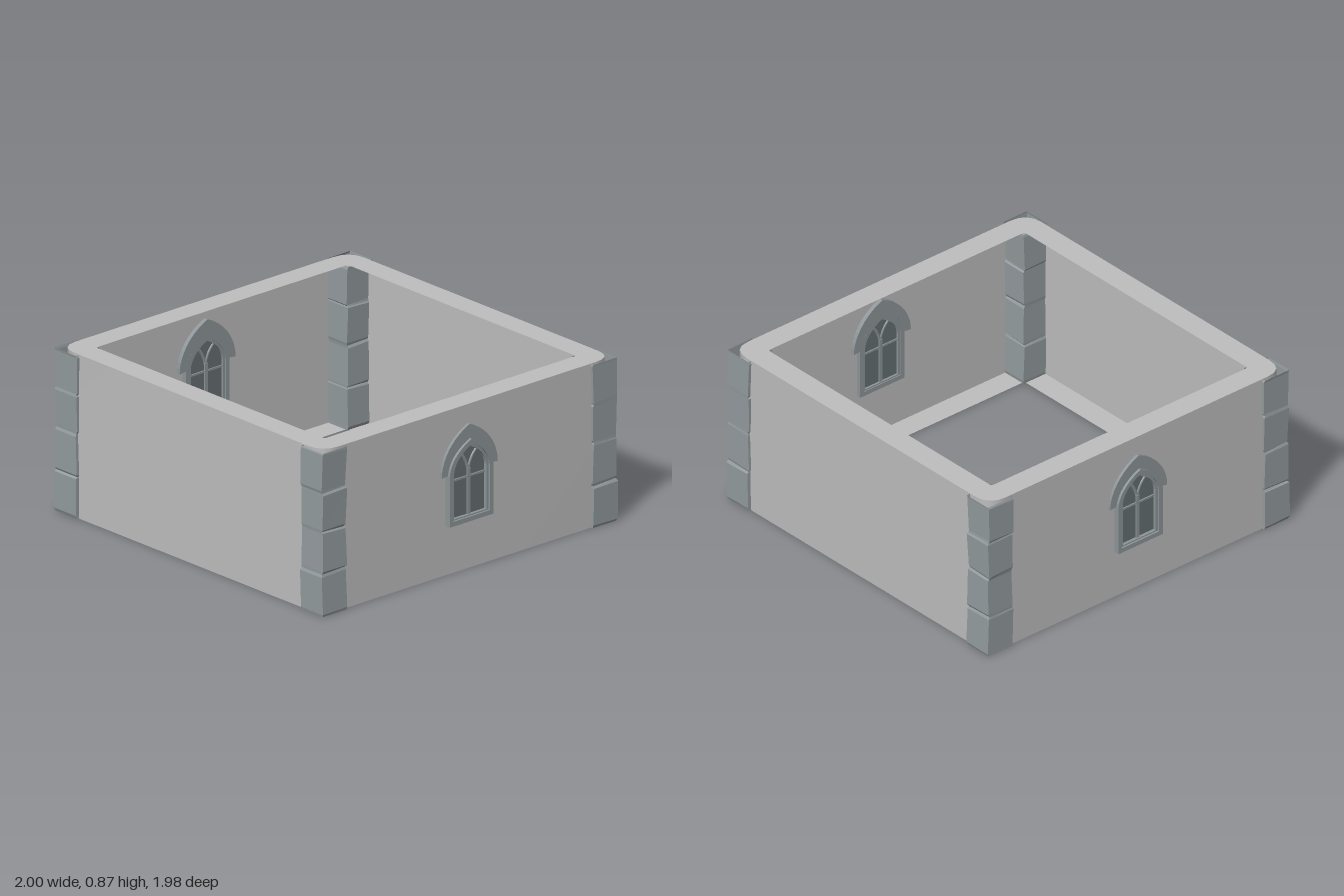
import * as THREE from 'three';

const H = 0.87;      // wall height
const OUT = 0.968;   // outer half width
const INN = 0.84;    // inner half width

function mat(name, color, double = true) {
  const m = new THREE.MeshStandardMaterial({ color });
  m.name = name;
  if (double) m.side = THREE.DoubleSide;
  return m;
}

// Square outline with rounded corners
function roundedSquare(h, r, Type = THREE.Shape) {
  const s = new Type();
  s.moveTo(-h + r, -h);
  s.lineTo(h - r, -h);
  s.quadraticCurveTo(h, -h, h, -h + r);
  s.lineTo(h, h - r);
  s.quadraticCurveTo(h, h, h - r, h);
  s.lineTo(-h + r, h);
  s.quadraticCurveTo(-h, h, -h, h - r);
  s.lineTo(-h, -h + r);
  s.quadraticCurveTo(-h, -h, -h + r, -h);
  return s;
}

// Thin upright skin following the outline
function skinGeometry() {
  const pts = roundedSquare(OUT, 0.11).getPoints(4).slice(0, -1);
  const n = pts.length, pos = [], index = [];
  for (const p of pts) pos.push(p.x, 0, -p.y, p.x, H, -p.y);
  for (let i = 0; i < n; i++) {
    const a = 2 * i, b = 2 * ((i + 1) % n);
    index.push(a, b, b + 1, a, b + 1, a + 1);
  }
  const g = new THREE.BufferGeometry();
  g.setAttribute('position', new THREE.Float32BufferAttribute(pos, 3));
  g.setIndex(index);
  g.computeVertexNormals();
  return g;
}

// Pointed arch outline with straight jambs
function arch(w, y0, spring, apex, Type = THREE.Shape) {
  const s = new Type();
  const c = spring + 0.62 * (apex - spring);
  s.moveTo(-w, y0);
  s.lineTo(w, y0);
  s.lineTo(w, spring);
  s.quadraticCurveTo(w * 0.92, c, 0, apex);
  s.quadraticCurveTo(-w * 0.92, c, -w, spring);
  s.lineTo(-w, y0);
  return s;
}

function slab(name, shape, z0, z1, material) {
  const g = new THREE.ExtrudeGeometry(shape, { depth: z1 - z0, bevelEnabled: false, curveSegments: 10 });
  g.translate(0, 0, z0);
  const m = new THREE.Mesh(g, material);
  m.name = name;
  return m;
}

function bar(name, w, h, d, x, y, z, material) {
  const m = new THREE.Mesh(new THREE.BoxGeometry(w, h, d), material);
  m.position.set(x, y, z);
  m.name = name;
  return m;
}

// Window facing +z, placed at the wall plane
function buildWindow(frameMat, glassMat) {
  const g = new THREE.Group();

  // outer and inner frame steps
  const outer = arch(0.146, 0.26, 0.53, 0.695);
  outer.holes.push(arch(0.122, 0.285, 0.53, 0.672, THREE.Path));
  g.add(slab('windowFrame', outer, 0.945, 0.998, frameMat));
  const inner = arch(0.122, 0.285, 0.53, 0.672);
  inner.holes.push(arch(0.108, 0.292, 0.53, 0.655, THREE.Path));
  g.add(slab('innerFrame', inner, 0.95, 0.988, frameMat));

  // glass pane
  g.add(slab('glass', arch(0.112, 0.287, 0.53, 0.66), 0.962, 0.971, glassMat));

  // hood moulding over the arch
  const hood = new THREE.Shape();
  hood.moveTo(0.146, 0.53);
  hood.lineTo(0.187, 0.525);
  hood.bezierCurveTo(0.187, 0.62, 0.12, 0.72, 0, 0.77);
  hood.bezierCurveTo(-0.12, 0.72, -0.187, 0.62, -0.187, 0.525);
  hood.lineTo(-0.146, 0.53);
  hood.quadraticCurveTo(-0.134, 0.635, 0, 0.692);
  hood.quadraticCurveTo(0.134, 0.635, 0.146, 0.53);
  g.add(slab('hoodMoulding', hood, 0.945, 0.984, frameMat));

  // mullion, transom and branching tracery
  g.add(bar('mullion', 0.02, 0.25, 0.026, 0, 0.41, 0.967, frameMat));
  g.add(bar('transom', 0.22, 0.01, 0.022, 0, 0.492, 0.967, frameMat));
  for (const s of [-1, 1]) {
    const curve = new THREE.QuadraticBezierCurve3(
      new THREE.Vector3(0, 0.52, 0.967),
      new THREE.Vector3(s * 0.012, 0.595, 0.967),
      new THREE.Vector3(s * 0.066, 0.632, 0.967));
    const m = new THREE.Mesh(new THREE.TubeGeometry(curve, 8, 0.01, 6), frameMat);
    m.name = 'tracery';
    g.add(m);
  }
  return g;
}

// Hollow stone pillar with worn blocks: [height, half size]
function buildQuoin(stoneMat, seed) {
  const rows = [[0, 0.078], [0.015, 0.081], [0.212, 0.08], [0.224, 0.075], [0.236, 0.08],
    [0.435, 0.076], [0.446, 0.073], [0.458, 0.077], [0.645, 0.08], [0.654, 0.076],
    [0.665, 0.078], [0.855, 0.081], [0.866, 0.079]];
  const g = new THREE.CylinderGeometry(1, 1, 1, 4, rows.length - 1, true, Math.PI / 4);
  const p = g.attributes.position;
  for (let i = 0; i < p.count; i++) {
    const r = rows.length - 1 - Math.floor(i / 5);
    const [y, h] = rows[r];
    const shift = 0.003 * Math.sin(r * 1.7 + seed * 2.3);
    const tilt = 0.004 * Math.sin((i % 5 % 4) * 2.1 + r + seed);
    p.setXYZ(i, Math.sign(p.getX(i)) * h + shift, r > 0 && r < rows.length - 1 ? y + tilt : y,
      Math.sign(p.getZ(i)) * h - shift);
  }
  const flat = g.toNonIndexed();
  flat.computeVertexNormals();
  return new THREE.Mesh(flat, stoneMat);
}

export function createModel() {
  const model = new THREE.Group();
  model.name = 'stoneEnclosure';
  const wallMat = mat('wall grey', 0xbebebe);
  const stoneMat = mat('corner stone', 0x949c9f);
  const frameMat = mat('window stone', 0x8e9699, false);
  const glassMat = mat('window glass', 0x677073, false);

  // outer wall skin
  const skin = new THREE.Mesh(skinGeometry(), wallMat);
  skin.name = 'wallSkin';
  model.add(skin);

  // flat rims closing the top and bottom edges
  const ring = roundedSquare(OUT, 0.11);
  ring.holes.push(roundedSquare(INN, 0.015, THREE.Path));
  for (const top of [true, false]) {
    const g = new THREE.ShapeGeometry(ring, 4);
    g.rotateX(top ? -Math.PI / 2 : Math.PI / 2);
    const rim = new THREE.Mesh(g, wallMat);
    rim.position.y = top ? H : 0;
    rim.name = top ? 'topRim' : 'bottomRim';
    model.add(rim);
  }

  // corner pillars
  let seed = 0;
  for (const sx of [-1, 1]) for (const sz of [-1, 1]) {
    const q = buildQuoin(stoneMat, seed++);
    q.position.set(sx * 0.905, 0, sz * 0.905);
    q.name = (sz > 0 ? 'front' : 'back') + (sx > 0 ? 'Left' : 'Right') + 'Quoin';
    model.add(q);
  }

  // side windows
  for (const s of [-1, 1]) {
    const w = buildWindow(frameMat, glassMat);
    w.rotation.y = s * Math.PI / 2;
    w.name = s > 0 ? 'leftWindow' : 'rightWindow';
    model.add(w);
  }
  return model;
}
